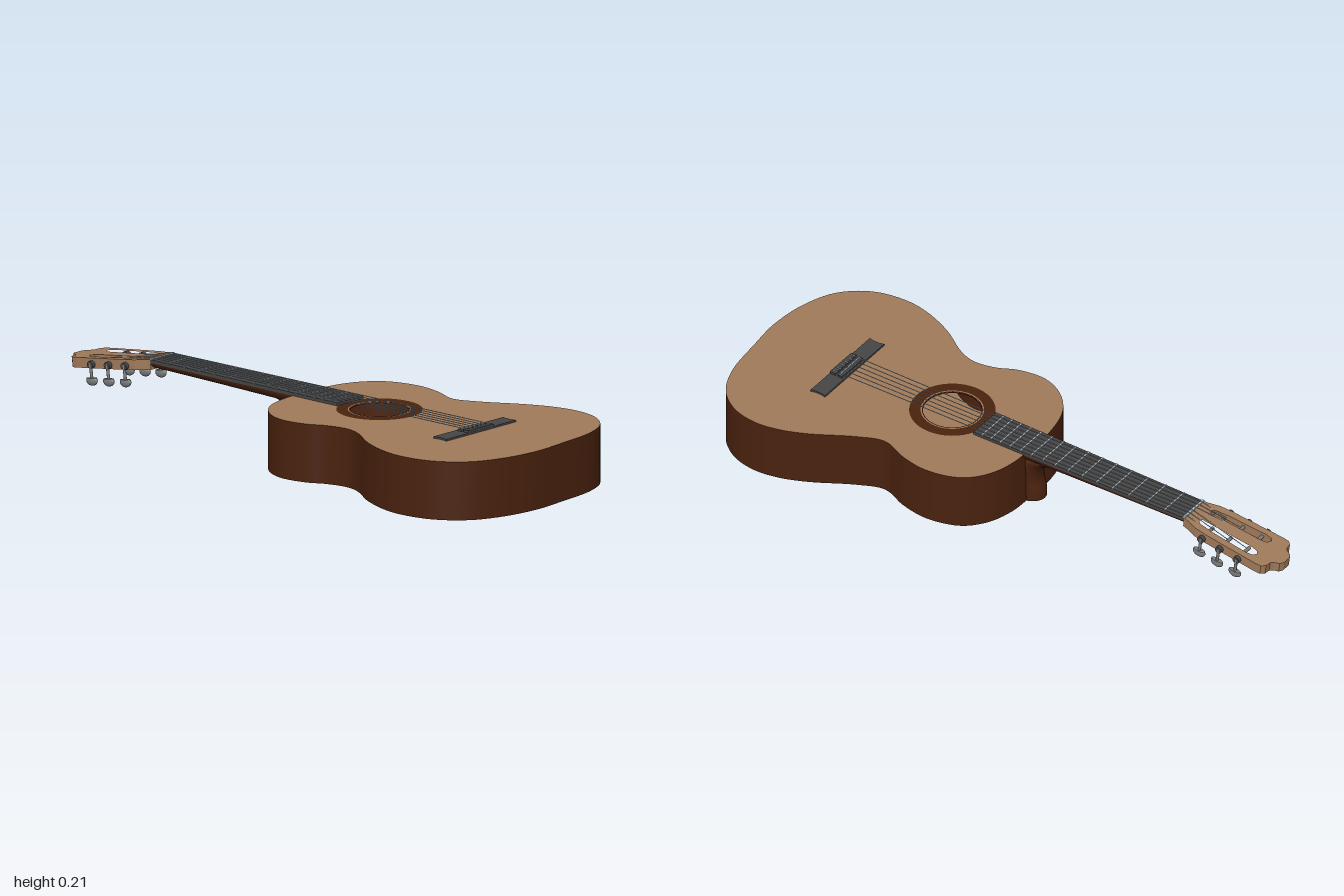
import * as THREE from 'three';

const mat = (name, color, side = THREE.FrontSide) => {
  const m = new THREE.MeshStandardMaterial({ color, side });
  m.name = name;
  return m;
};
const tan = mat('tan wood', 0xa07a5a);
const brown = mat('dark brown wood', 0x4a220e, THREE.DoubleSide);
const ebony = mat('ebony', 0x454545);
const metal = mat('grey metal', 0x7c7c7c);
const silver = mat('pale silver', 0xb4bec6);

const CX = -0.005;      // centre line of the neck
const TOP = 0.19;       // height of the soundboard
const NUT = -0.645, SADDLE = 0.68, BOARD_END = 0.155;
const HOLE = [-0.01, 0.283];

function add(parent, name, geometry, material, x = 0, y = 0, z = 0) {
  const m = new THREE.Mesh(geometry, material);
  m.name = name;
  m.position.set(x, y, z);
  parent.add(m);
  return m;
}

// Plan shape in (x, z), extruded downwards from y = 0
const plan = pts => new THREE.Shape(pts.map(p => new THREE.Vector2(p[0], p[1])));
const slab = (shape, depth) =>
  new THREE.ExtrudeGeometry(shape, { depth, bevelEnabled: false, curveSegments: 32 }).rotateX(Math.PI / 2);

// Skin over a list of rings with equal point counts
function loft(rings, closed) {
  const n = rings[0].length, index = [];
  for (let r = 0; r < rings.length - 1; r++)
    for (let i = 0; i < (closed ? n : n - 1); i++) {
      const a = r * n + i, b = r * n + (i + 1) % n;
      index.push(a, b, a + n, b, b + n, a + n);
    }
  const g = new THREE.BufferGeometry();
  g.setAttribute('position', new THREE.Float32BufferAttribute(rings.flat(2), 3));
  g.setIndex(index);
  g.computeVertexNormals();
  return g;
}

const arc = f => Array.from({ length: 17 }, (_, i) => f(Math.cos(i * Math.PI / 16), Math.sin(i * Math.PI / 16)));

// Thin rod between two points
function rod(parent, name, a, b, radius, material, sides = 6) {
  const A = new THREE.Vector3(...a), B = new THREE.Vector3(...b), d = B.clone().sub(A);
  const m = add(parent, name, new THREE.CylinderGeometry(radius, radius, d.length(), sides), material);
  m.position.copy(A).add(B).multiplyScalar(0.5);
  m.quaternion.setFromUnitVectors(new THREE.Vector3(0, 1, 0), d.normalize());
  return m;
}

function buildBody(parent) {
  const body = new THREE.Group();
  body.name = 'body';
  parent.add(body);
  const outline = [
    [0, -0.034], [0.11, -0.03], [0.2, 0], [0.265, 0.06], [0.295, 0.17], [0.28, 0.27], [0.245, 0.365],
    [0.275, 0.45], [0.35, 0.585], [0.385, 0.675], [0.396, 0.76], [0.375, 0.85], [0.315, 0.925],
    [0.215, 0.97], [0.06, 0.99], [-0.06, 0.999], [-0.195, 0.98], [-0.305, 0.93], [-0.375, 0.84],
    [-0.397, 0.73], [-0.385, 0.64], [-0.34, 0.53], [-0.275, 0.43], [-0.257, 0.37], [-0.27, 0.295],
    [-0.3, 0.23], [-0.31, 0.135], [-0.275, 0.055], [-0.205, -0.005], [-0.1, -0.033]];
  const curve = new THREE.CatmullRomCurve3(outline.map(p => new THREE.Vector3(p[0], 0, p[1])), true);
  const pts = curve.getPoints(150).slice(0, -1).map(p => [p.x, p.z]);

  add(body, 'sides', loft([0.002, TOP - 0.001].map(y => pts.map(p => [p[0], y, p[1]])), true), brown);
  add(body, 'back', slab(plan(pts), 0.004), [tan, brown], 0, 0.004, 0);
  const top = plan(pts);
  top.holes.push(new THREE.Path().absarc(HOLE[0], HOLE[1], 0.093, 0, Math.PI * 2, true));
  add(body, 'soundboard', slab(top, 0.004), [tan, brown], 0, TOP, 0);

  // Ring round the sound hole
  const ring = (name, a, b) =>
    add(body, name, new THREE.RingGeometry(a, b, 64).rotateX(-Math.PI / 2), brown, HOLE[0], TOP + 0.001, HOLE[1]);
  ring('rosette', 0.1, 0.136);
  ring('soundHoleEdge', 0.093, 0.096);

  // Bridge with notched ends, tie block and saddle
  const wing = [[0.164, 0.65], [0.16, 0.665], [0.16, 0.69], [0.164, 0.705]];
  const mirror = wing.map(p => [-p[0], p[1]]).reverse();
  add(body, 'bridge', slab(plan([...wing, ...mirror]), 0.006), ebony, 0, TOP + 0.006, 0);
  add(body, 'tieBlock', new THREE.BoxGeometry(0.118, 0.009, 0.02), ebony, 0, TOP + 0.009, 0.694);
  add(body, 'saddleRail', new THREE.BoxGeometry(0.118, 0.007, 0.016), ebony, 0, TOP + 0.008, 0.666);
  add(body, 'saddle', new THREE.BoxGeometry(0.11, 0.007, 0.004), silver, 0, TOP + 0.0105, 0.67);
}

const boardHalf = z => 0.054 + 0.008 * (z - NUT) / (BOARD_END - NUT);

function buildNeck(parent) {
  const neck = new THREE.Group();
  neck.name = 'neck';
  parent.add(neck);
  // Rounded shaft: z and depth
  const shaft = [[NUT, 0.025], [-0.4, 0.029], [-0.16, 0.035], [-0.02, 0.04]];
  add(neck, 'neckShaft', loft(shaft.map(([z, d]) =>
    arc((c, s) => [CX + boardHalf(z) * c, TOP - d * s, z])), false), brown);
  // Heel: height, front edge z, half width
  const heel = [[0, -0.02, 0], [0, -0.074, 0.046], [0, -0.074, 0.046], [0.03, -0.074, 0.047], [0.05, -0.066, 0.048],
    [0.07, -0.06, 0.049], [0.1, -0.061, 0.05], [0.125, -0.074, 0.051], [0.14, -0.09, 0.052],
    [0.15, -0.112, 0.052], [0.157, -0.15, 0.05], [0.165, -0.2, 0.046]];
  add(neck, 'heel', loft(heel.map(([y, z, w]) =>
    arc((c, s) => [CX + w * c, y, -0.02 + (w ? (z + 0.02) * s : 0)])), false), brown);

  // Fingerboard, nut and frets
  const a = boardHalf(NUT), b = boardHalf(BOARD_END);
  add(neck, 'fingerboard', slab(plan([[-a, NUT], [a, NUT], [b, BOARD_END], [-b, BOARD_END]]), 0.011),
    ebony, CX, TOP + 0.01, 0);
  add(neck, 'nut', new THREE.BoxGeometry(a * 2, 0.006, 0.008), silver, CX, TOP + 0.011, NUT + 0.002);
  for (let i = 1; i <= 15; i++) {
    const z = NUT + (SADDLE - NUT) * (1 - 2 ** (-i / 12));
    add(neck, 'fret', new THREE.BoxGeometry(boardHalf(z) * 2, 0.002, 0.004), silver, CX, TOP + 0.0108, z);
  }
}

function buildHead(parent) {
  const head = new THREE.Group();
  head.name = 'headstock';
  head.position.set(CX, TOP + 0.01, NUT);
  head.rotation.x = -0.13;
  parent.add(head);
  const half = [[0.054, 0], [0.057, -0.015], [0.07, -0.055], [0.074, -0.1], [0.08, -0.29], [0.078, -0.312],
    [0.066, -0.324], [0.046, -0.326], [0.036, -0.335], [0.029, -0.351], [0.016, -0.358]];
  const shape = plan([...half, ...half.map(p => [-p[0], p[1]]).reverse()]);
  const slot = [[0.022, -0.05], [0.032, -0.043], [0.042, -0.052], [0.049, -0.1], [0.056, -0.24],
    [0.052, -0.262], [0.04, -0.27], [0.028, -0.262], [0.023, -0.24]];
  for (const s of [-1, 1])
    shape.holes.push(new THREE.Path(slot.map(p => new THREE.Vector2(s * p[0], p[1]))));
  add(head, 'headPlate', slab(shape, 0.033), tan);

  // Tuning machines, three on each side
  for (const s of [-1, 1])
    [-0.087, -0.157, -0.227].forEach((z, k) => {
      const x = s * (0.083 + k * 0.002);
      rod(head, 'stringRoller', [s * 0.016, -0.015, z], [x, -0.015, z], 0.006, metal, 12);
      rod(head, 'tunerGear', [s * 0.074, -0.02, z], [x + s * 0.004, -0.02, z], 0.012, ebony, 14);
      rod(head, 'tunerShaft', [x, -0.015, z], [x, -0.066, z], 0.005, metal, 10);
      add(head, 'tunerButton', new THREE.SphereGeometry(1, 18, 10, 0, Math.PI * 2, Math.PI * 0.35, Math.PI * 0.65)
        .scale(0.01, 0.017, 0.023), metal, x, -0.07, z);
      add(head, 'tunerButtonTop', new THREE.CylinderGeometry(0.9, 0.9, 0.004, 18)
        .scale(0.01, 1, 0.023), metal, x, -0.064, z);
      // String end running from the nut to its roller
      rod(head, 'stringEnd', [s * (0.043 - k * 0.0172), 0.005, 0], [s * (0.043 - k * 0.006), -0.008, z],
        0.0013, silver, 5);
    });
}

export function createModel() {
  const guitar = new THREE.Group();
  guitar.name = 'guitar';
  buildBody(guitar);
  buildNeck(guitar);
  buildHead(guitar);
  // Six strings from nut to tie block
  for (let i = 0; i < 6; i++) {
    const t = i / 2.5 - 1;
    rod(guitar, 'string', [CX + 0.043 * t, TOP + 0.0145, NUT], [0.05 * t, TOP + 0.0145, 0.7], 0.0015, silver, 5);
  }
  return guitar;
}
